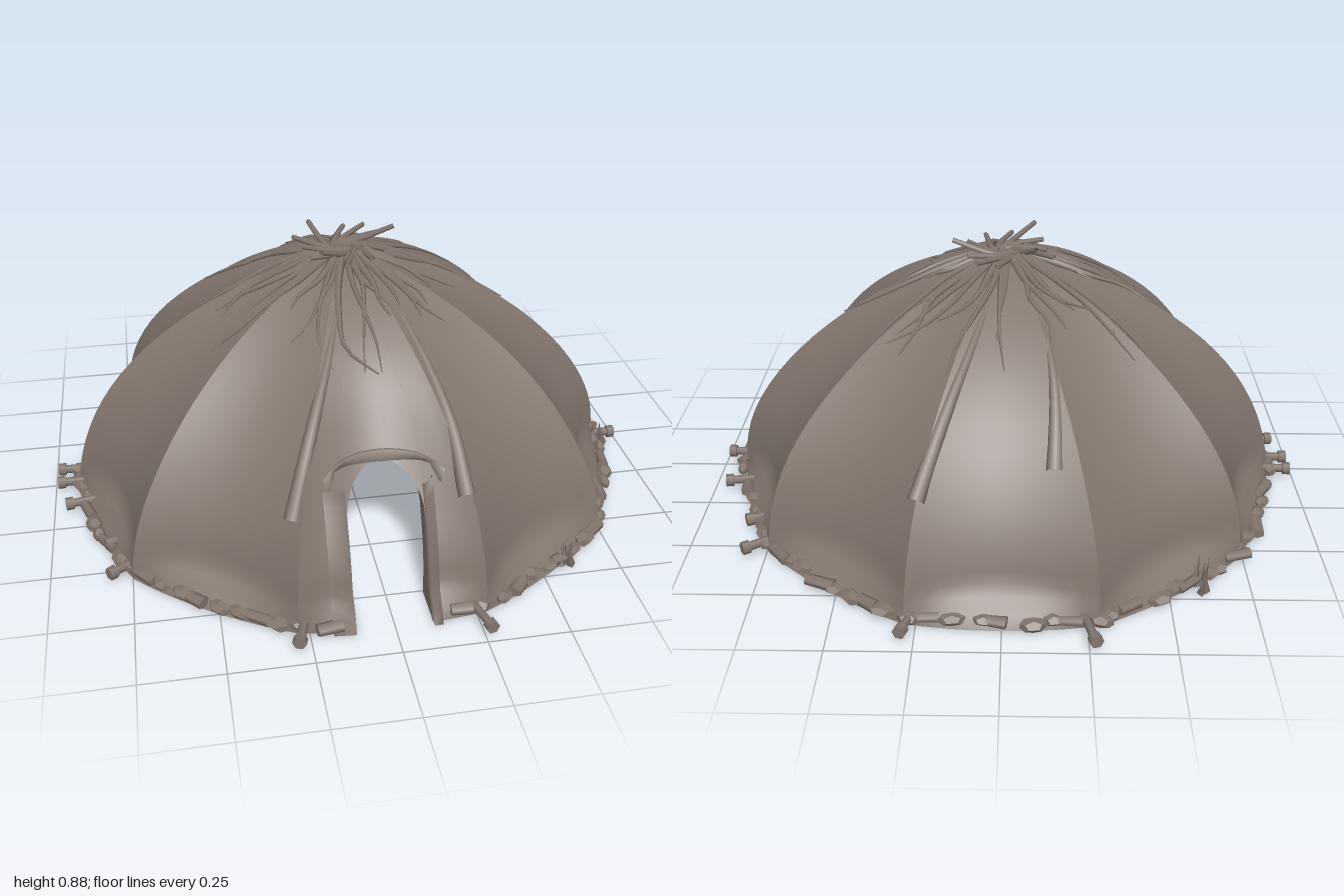
import * as THREE from 'three';
import { ParametricGeometry } from 'three/addons/geometries/ParametricGeometry.js';
import { mergeGeometries } from 'three/addons/utils/BufferGeometryUtils.js';

const hide = new THREE.MeshStandardMaterial({ color: 0x82766e, side: THREE.DoubleSide });
hide.name = 'weathered hide';

let seed = 7;
const rnd = (a = 0, b = 1) => {
  seed = (seed * 16807) % 2147483647;
  return a + (b - a) * (seed / 2147483647);
};

const RIB = Math.PI / 5, HALF = Math.sin(RIB / 2), DOOR = 2, DOOR_W = 0.115, SPRING = 0.28;
const { lerp, smoothstep } = THREE.MathUtils;

// Dome profile: radius at height y, for the outer (0) and inner (1) skin
const profile = y => 0.92 * Math.pow(Math.max(0, 1 - (y / 0.82) ** 2), 0.7);
const radius = (y, inner) => inner ? 0.9 * profile(y / 0.94) : profile(y);
const heightAt = (v, y0, inner) => lerp(y0, inner ? 0.7707 : 0.8199, Math.sin(v * Math.PI / 2));
// Rows share their heights above the spring of the door arch
const ROWS = 26, LOW = 8;
const rowY = (v, inner) => v * ROWS <= LOW ? SPRING * v * ROWS / LOW
  : heightAt((v * ROWS - LOW) / (ROWS - LOW), SPRING, inner);

// Panels sag between ribs, flare out at the hem, and dip further over the door
function sag(k, s, y, inner) {
  const hem = inner ? 0.045 : lerp(-0.03, 0.06, smoothstep(y, 0, 0.1));
  const dip = k === DOOR ? 0.07 * smoothstep(y, 0.1, 0.4) * (1 - smoothstep(y, 0.45, 0.7)) : 0;
  return 1 - (hem + dip) * Math.pow(Math.abs(Math.sin(Math.PI * s)), 0.85);
}
// Point on panel k, s = 0..1 between its two ribs
function skin(k, s, y, inner, grow = 1) {
  const a = k * RIB, b = a + RIB;
  const wave = 1 + 0.006 * Math.sin(3 * (a + s * RIB) + 9 * y);
  const f = radius(y, inner) * sag(k, s, y, inner) * wave * grow;
  return new THREE.Vector3(f * lerp(Math.cos(a), Math.cos(b), s), y, f * lerp(Math.sin(a), Math.sin(b), s));
}
// Point on the dome at any angle and radius
function onDome(angle, r, lift) {
  const t = ((angle / RIB) % 10 + 10) % 10, k = Math.floor(t);
  const p = skin(k, t - k, 0.82 * Math.sqrt(1 - Math.pow(r / 0.92, 1 / 0.7)), 0);
  p.y += lift;
  return p;
}
// Door panel helpers: s of a given x, half width of the opening column, arch line
const doorS = (x, y, inner) => {
  const h = x / (2 * radius(y, inner) * HALF);
  return 0.5 - h / sag(DOOR, 0.5 - h, y, inner);
};
const doorX = (y, inner) => y < 0.42 ? DOOR_W : DOOR_W * radius(y, inner) / radius(0.42, inner);
const arch = u => SPRING + 0.13 * Math.sqrt(Math.max(0, 1 - u * u));
const doorPoint = (x, y, inner, grow) => skin(DOOR, doorS(x, y, inner), y, inner, grow);

function sheet(fn, nu, nv) {
  const g = new ParametricGeometry((u, v, out) => out.copy(fn(u, v)), nu, nv);
  g.computeVertexNormals();
  return g;
}
const between = (p, q, t) => p.clone().lerp(q, t);

// Tapered, bent stick through a few points
function stick(points, r, taper, sides = 5, seg = 6) {
  const curve = new THREE.CatmullRomCurve3(points);
  const g = new THREE.TubeGeometry(curve, seg, r, sides);
  const pos = g.attributes.position, v = new THREE.Vector3();
  for (let i = 0; i < pos.count; i++) {
    const t = Math.floor(i / (sides + 1)) / seg;
    v.fromBufferAttribute(pos, i).lerp(curve.getPointAt(t), t * taper);
    pos.setXYZ(i, v.x, v.y, v.z);
  }
  return g;
}

// Thick strip on the door panel between two edges that each give [x, y] along t
function doorStrip(edgeA, edgeB, n) {
  return sheet((u, t) => {
    const corner = Math.round(u * 4) % 4;
    const [x, y] = corner === 0 || corner === 3 ? edgeA(t) : edgeB(t);
    return doorPoint(x, y, 0, corner < 2 ? 0.985 : 1.018);
  }, 4, n);
}

export function createModel() {
  const model = new THREE.Group();
  const add = (name, geos) => {
    const mesh = new THREE.Mesh(mergeGeometries(geos.map(g => g.index ? g.toNonIndexed() : g)), hide);
    mesh.name = name;
    model.add(mesh);
  };

  // Outer cover and inner lining
  [0, 1].forEach(inner => {
    const panels = [];
    for (let k = 0; k < 10; k++) {
      if (k !== DOOR) {
        panels.push(sheet((u, v) => skin(k, u, rowY(v, inner), inner), 12, ROWS));
        continue;
      }
      [1, -1].forEach(side => panels.push(sheet((u, v) => {
        const y = rowY(v, inner);
        const edge = doorS(side * doorX(y, inner), y, inner);
        return skin(k, lerp(side > 0 ? 0 : 1, edge, u), y, inner);
      }, 6, ROWS)));
      panels.push(sheet((u, v) => {
        const x = Math.sin((u - 0.5) * Math.PI), y = heightAt(v, arch(x), inner);
        return doorPoint(x * doorX(y, inner), y, inner);
      }, 16, ROWS - LOW));
    }
    add(inner ? 'innerLining' : 'cover', panels);
  });

  // Ground rim joining both skins
  const rims = [];
  for (let k = 0; k < 10; k++) {
    if (k !== DOOR) rims.push(sheet((u, v) => between(skin(k, u, 0, 0), skin(k, u, 0, 1), v), 12, 1));
  }
  [1, -1].forEach(side => rims.push(sheet((u, v) => {
    const s = inner => lerp(side > 0 ? 0 : 1, doorS(side * DOOR_W, 0, inner), u);
    return between(skin(DOOR, s(0), 0, 0), skin(DOOR, s(1), 0, 1), v);
  }, 6, 1)));
  add('groundRim', rims);

  // Doorway reveal
  const reveal = [1, -1].map(side => sheet((u, v) =>
    between(doorPoint(side * DOOR_W, u * SPRING, 0), doorPoint(side * DOOR_W, u * SPRING, 1), v), LOW, 2));
  reveal.push(sheet((u, v) => {
    const x = Math.sin((u - 0.5) * Math.PI), y = arch(x);
    return between(doorPoint(x * DOOR_W, y, 0), doorPoint(x * DOOR_W, y, 1), v);
  }, 16, 2));
  add('doorwayReveal', reveal);

  // Door frame: side bands and the flap over the arch
  add('doorFrame', [
    doorStrip(t => [-DOOR_W, t * 0.36], t => [-0.18, t * 0.38], 10),
    doorStrip(t => [DOOR_W, t * 0.36], t => [0.14, t * 0.38], 10),
    doorStrip(t => { const u = lerp(-1, 1, t); return [u * 0.16, arch(u) + 0.09 * u * u]; },
      t => { const u = lerp(-1, 1, t); return [u * 0.175, 0.435 - 0.03 * u ** 4]; }, 14)
  ]);

  // Soft folds where the cover lies over the long poles
  add('coverFolds', [[1.93, 0.3, 0.82], [1.27, 0.35, 0.8], [5.03, 0.25, 0.8], [4.5, 0.4, 0.75]].map(([a, r0, r1]) =>
    stick([1, 0.7, 0.35, 0].map(t => onDome(a - 0.12 * (1 - t), lerp(r0, r1, t), -0.008)), 0.026, 0.6, 8, 14)));

  // Crossed pole ends at the top
  const poles = [];
  for (let i = 0; i < 12; i++) {
    const a = i / 12 * Math.PI * 2 + rnd(-0.2, 0.2), r = rnd(0.13, 0.18), y = i % 4 ? rnd(0.81, 0.835) : 0.868;
    const c = Math.cos(a), s = Math.sin(a);
    poles.push(stick([
      new THREE.Vector3(-c * 0.08 + s * 0.04, 0.8, -s * 0.08 - c * 0.04),
      new THREE.Vector3(c * 0.05 + s * 0.03, 0.822, s * 0.05 - c * 0.03),
      new THREE.Vector3(c * r, y, s * r)], 0.013, 0.35));
  }
  add('poleEnds', poles);

  // Branches draped down from the top in loose bunches
  const branches = [];
  for (let i = 0; i < 44; i++) {
    const a = (Math.floor(i / 4) + 0.5) / 11 * Math.PI * 2 + (i % 4 - 1.5) * 0.1 + rnd(-0.04, 0.04);
    const bend = rnd(-0.28, 0.28), end = rnd(0.3, 0.56);
    const pts = [0, 0.3, 0.55, 0.8, 1].map((t, j) =>
      onDome(a + bend * t * t + (j > 1 ? rnd(-0.06, 0.06) : 0), lerp(0.07, end, t), 0.006));
    branches.push(stick(pts, rnd(0.011, 0.017), 0.85, 5, 10));
  }
  add('drapedBranches', branches);

  // Stones and short logs holding down the hem
  const stones = [];
  for (let i = 0; i < 84; i++) {
    const t = (i + rnd(-0.3, 0.3) + 84) % 84 / 8.4, k = Math.floor(t);
    const p = skin(k, t - k, 0.015, 0, rnd(0.985, 1.015));
    if (p.z > 0 && Math.abs(p.x) < 0.17) continue;
    const g = i % 3 ? new THREE.DodecahedronGeometry(1)
      : new THREE.CylinderGeometry(0.8, 0.9, 2, 6).rotateX(Math.PI / 2).toNonIndexed();
    g.scale(rnd(0.018, 0.03), rnd(0.015, 0.022), rnd(0.03, 0.048));
    g.rotateY(-(k + 0.5) * RIB + rnd(-0.3, 0.3));
    g.translate(p.x, 0.026, p.z);
    stones.push(g);
  }
  add('hemStones', stones);

  // Pegs sticking out at the hem: [x, z] of each tip
  const pegTips = [[-0.27, -0.99], [0.29, -0.96], [0.82, -0.56], [0.84, -0.4], [0.96, -0.16], [0.99, 0.04],
    [0.27, 0.98], [-0.29, 0.95], [-0.82, 0.55], [-0.83, 0.4], [-0.96, 0.16], [-0.99, 0.03], [-0.99, -0.05]];
  const pegs = [];
  pegTips.forEach(([x, z]) => {
    const len = Math.hypot(x, z), a = -Math.atan2(z, x);
    [[0.14, 0.014, 0.07], [0.025, 0.021, 0.012]].forEach(([l, r, back]) => {
      const g = new THREE.CylinderGeometry(r, r, l, 6).rotateZ(Math.PI / 2);
      g.translate(len - back, 0.032, 0).rotateY(a);
      pegs.push(g);
    });
  });
  add('pegs', pegs);

  // Spiky tufts at the foot of the cover
  const tufts = [];
  [[-0.6, -0.7], [0.59, 0.7], [0.92, 0.06]].forEach(([x, z]) => {
    for (let i = 0; i < 6; i++) {
      const h = rnd(0.06, 0.11);
      const g = new THREE.ConeGeometry(0.014, h, 4).translate(0, h / 2, 0);
      g.rotateZ(rnd(-0.4, 0.4)).rotateX(rnd(-0.4, 0.4));
      tufts.push(g.translate(x + rnd(-0.025, 0.025), 0.005, z + rnd(-0.025, 0.025)));
    }
  });
  add('tufts', tufts);

  return model;
}
